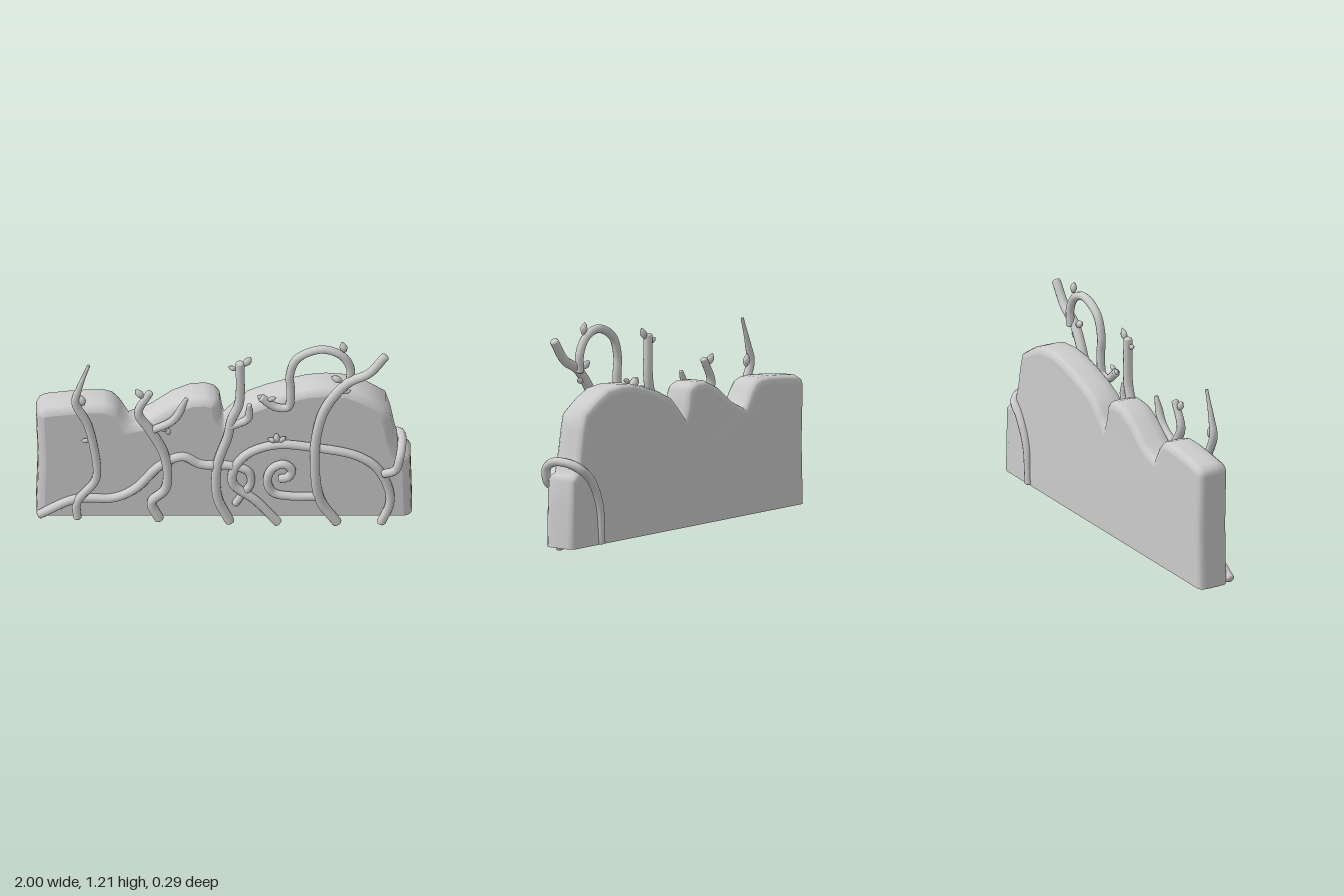
import * as THREE from 'three';

const mat = new THREE.MeshStandardMaterial({ color: 0xcccccc, side: THREE.DoubleSide });
const V = (x, y, z) => new THREE.Vector3(x, y, z);

function add(group, geometry, name) {
  const mesh = new THREE.Mesh(geometry, mat);
  mesh.name = name;
  group.add(mesh);
  return mesh;
}

// Silhouette of the wall, from the left foot over the humps to the right foot
const outline = [
  [-1, .06], [-.99, .4], [-1, .70], [-.985, .735], [-.95, .755], [-.83, .77], [-.71, .78], [-.64, .78],
  [-.59, .765], [-.55, .72], [-.505, .635], [-.45, .66], [-.39, .69], [-.28, .775], [-.18, .82],
  [-.1, .825], [-.05, .81], [-.025, .78], [-.012, .7], [0, .64], [.05, .7], [.12, .77], [.22, .815],
  [.33, .85], [.44, .88], [.54, .89], [.66, .88], [.76, .835], [.86, .77], [.885, .68], [.905, .57],
  [.93, .46], [.965, .45], [.99, .42], [.995, .25], [1, .06],
].map(p => new THREE.Vector2(...p));

// Silhouette moved inwards by d, keeping the feet on the ground line
function inset(d) {
  return outline.map((p, i) => {
    const a = outline[Math.max(i - 1, 0)], b = outline[Math.min(i + 1, outline.length - 1)];
    const t = b.clone().sub(a).normalize();
    const end = i === 0 || i === outline.length - 1;
    return end ? new THREE.Vector2(p.x - Math.sign(p.x) * d, p.y)
      : new THREE.Vector2(p.x + t.y * d, p.y - t.x * d);
  });
}

// The back swells slightly at the right foot
const swell = (x, y, z) =>
  z < 0 ? z - .02 * THREE.MathUtils.smoothstep(x, .85, 1) * (1 - THREE.MathUtils.smoothstep(y, .4, .6)) : z;

function buildWall(group) {
  const wall = new THREE.Group();
  wall.name = 'wall';
  group.add(wall);
  // [z, inset] rings from the front edge to the back edge
  const rings = [[.068, .045], [.06, .022], [.04, .005], [0, 0], [-.075, 0], [-.098, .008], [-.108, .02], [-.112, .04]];
  const pos = [], idx = [], n = outline.length;
  rings.forEach(([z, d], r) => inset(d).forEach((p, i) => {
    pos.push(p.x, p.y, swell(p.x, p.y, z));
    if (r && i) {
      const a = (r - 1) * n + i - 1, b = r * n + i - 1;
      idx.push(a, a + 1, b, a + 1, b + 1, b);
    }
  }));
  const rim = new THREE.BufferGeometry();
  rim.setAttribute('position', new THREE.Float32BufferAttribute(pos, 3));
  // wind the faces outwards
  for (let i = 0; i < idx.length; i += 3) [idx[i + 1], idx[i + 2]] = [idx[i + 2], idx[i + 1]];
  const top = Math.floor(n / 2);
  rim.setIndex(idx);
  rim.computeVertexNormals();
  if (rim.attributes.normal.getY(3 * n + top + 6) < 0) {
    rim.setIndex(idx.slice().reverse());
    rim.computeVertexNormals();
  }
  add(wall, rim, 'wallRim');
  // Front and back faces; the underside stays open
  for (const [z, d] of [rings[0], rings[rings.length - 1]]) {
    const face = new THREE.ShapeGeometry(new THREE.Shape(inset(d)));
    const p = face.attributes.position;
    for (let i = 0; i < p.count; i++) p.setZ(i, swell(p.getX(i), p.getY(i), z));
    if (z < 0) face.setIndex(Array.from(face.index.array).reverse());
    face.computeVertexNormals();
    add(wall, face, z > 0 ? 'wallFront' : 'wallBack');
  }
}

// Round stem along points [x, y, z?], tapering from r0 to r1 over its last quarter
function stem(group, name, points, z, r0 = .025, r1 = r0 * .85) {
  const g = new THREE.Group();
  g.name = name;
  group.add(g);
  const pts = points.map(p => V(p[0], p[1], p[2] ?? z));
  const curve = new THREE.CatmullRomCurve3(pts, false, 'centripetal');
  const segs = points.length * 7, sides = 10;
  const tube = new THREE.TubeGeometry(curve, segs, 1, sides);
  const p = tube.attributes.position, v = new THREE.Vector3();
  for (let i = 0; i <= segs; i++) {
    const c = curve.getPointAt(i / segs);
    const r = THREE.MathUtils.lerp(r0, r1, THREE.MathUtils.smoothstep(i / segs, .72, 1));
    for (let j = 0; j <= sides; j++) {
      const k = i * (sides + 1) + j;
      v.fromBufferAttribute(p, k).sub(c).multiplyScalar(r).add(c);
      p.setXYZ(k, v.x, v.y, v.z);
    }
  }
  add(g, tube, name + 'Tube');
  // Blunt rounded ends
  for (const [t, r] of [[0, r0], [1, r1]]) {
    const cap = add(g, new THREE.SphereGeometry(r, sides, 6), name + 'End');
    cap.scale.y = .5;
    cap.position.copy(curve.getPointAt(t));
    cap.quaternion.setFromUnitVectors(V(0, 1, 0), curve.getTangentAt(t));
  }
}

// Bud: small pointed ellipsoid leaning by an angle in degrees
function bud(group, [x, y, z, angle, size = .036]) {
  const profile = [[0, -1], [.3, -.8], [.55, -.3], [.58, .1], [.35, .65], [0, 1]]
    .map(([r, h]) => new THREE.Vector2(r * size, h * size));
  const m = add(group, new THREE.LatheGeometry(profile, 8), 'bud');
  m.position.set(x, y, z);
  m.rotation.z = THREE.MathUtils.degToRad(angle);
  m.scale.z = .8;
}

export function createModel() {
  const model = new THREE.Group();
  model.name = 'vineWall';
  buildWall(model);

  // Upright stems
  stem(model, 'leftStem', [[-.78, .07], [-.78, .17], [-.69, .3], [-.675, .36], [-.69, .52], [-.725, .68],
    [-.79, .83], [-.77, .92], [-.72, 1.07]], .095, .023, .009);
  stem(model, 'forkedStem', [[-.345, .06], [-.385, .17], [-.315, .25], [-.30, .36], [-.32, .49],
    [-.39, .64], [-.455, .76], [-.395, .89]], .095, .026, .02);
  stem(model, 'forkedStemBranch', [[-.39, .64], [-.27, .71], [-.2, .85]], .095, .022, .012);
  stem(model, 'middleStem', [[.03, .04], [-.035, .2], [-.035, .41], [.02, .6], [.04, .71],
    [.08, .82], [.085, 1.08]], .09, .026, .024);
  stem(model, 'middleStemBranch', [[.025, .665], [.125, .72], [.135, .81]], .095, .022, .014);
  stem(model, 'tallStem', [[.6, .03, .085], [.515, .17, .09], [.485, .36, .105], [.49, .6, .1],
    [.54, .79, .095], [.66, .965, .105], [.77, 1.03, .11], [.855, 1.14, .11]], .1, .027, .024);

  // Trailing stems
  stem(model, 'lowTrail', [[-.98, .08], [-.79, .18], [-.58, .19], [-.47, .25], [-.34, .4], [-.22, .46],
    [-.125, .41], [.035, .4], [.13, .36], [.14, .28], [.09, .2], [.06, .15]], .082, .025, .02);
  stem(model, 'archTrail', [[.285, .03], [.17, .17], [.05, .28], [.05, .37], [.125, .48], [.275, .54],
    [.49, .52], [.7, .47], [.81, .39], [.875, .25], [.88, .15], [.835, .03]], .085, .025, .024);
  stem(model, 'topLoop', [[.2, .85], [.275, .79], [.34, .79], [.355, .9], [.35, 1], [.39, 1.11], [.515, 1.17],
    [.62, 1.135], [.67, 1.055], [.67, .96]], .085, .023, .023);
  stem(model, 'spiral', [[.495, .205], [.355, .205], [.26, .23], [.23, .31], [.26, .39], [.32, .415],
    [.36, .375], [.34, .33], [.3, .32]], .09, .024, .024);
  // Stem that wraps round the right end and runs down the back
  stem(model, 'wrapStem', [[.85, .36, .1], [.91, .39, .11], [.935, .47, .1], [.945, .51, .04], [.94, .51, -.06],
    [.91, .48, -.115], [.84, .42, -.125], [.77, .28, -.125], [.75, .07, -.125]], 0, .024, .022);

  // Buds: [x, y, z, lean, size]
  [
    [-.755, .84, .095, 10], [-.735, .575, .095, 85, .025], [-.45, .885, .095, 35], [-.3, .64, .095, 20, .028],
    [-.325, .655, .1, 70, .026], [.125, 1.095, .09, -30], [.045, 1.05, .09, 65, .026],
    [.205, .845, .085, 50], [.255, .855, .1, -70, .026], [.255, .575, .09, 65, .026], [.28, .59, .09, 5, .032],
    [.31, .58, .09, -45, .026], [.635, 1.185, .085, 15], [.6, .985, .1, 60, .036], [.65, .905, .1, -75, .028],
  ].forEach(b => bud(model, b));

  return model;
}
